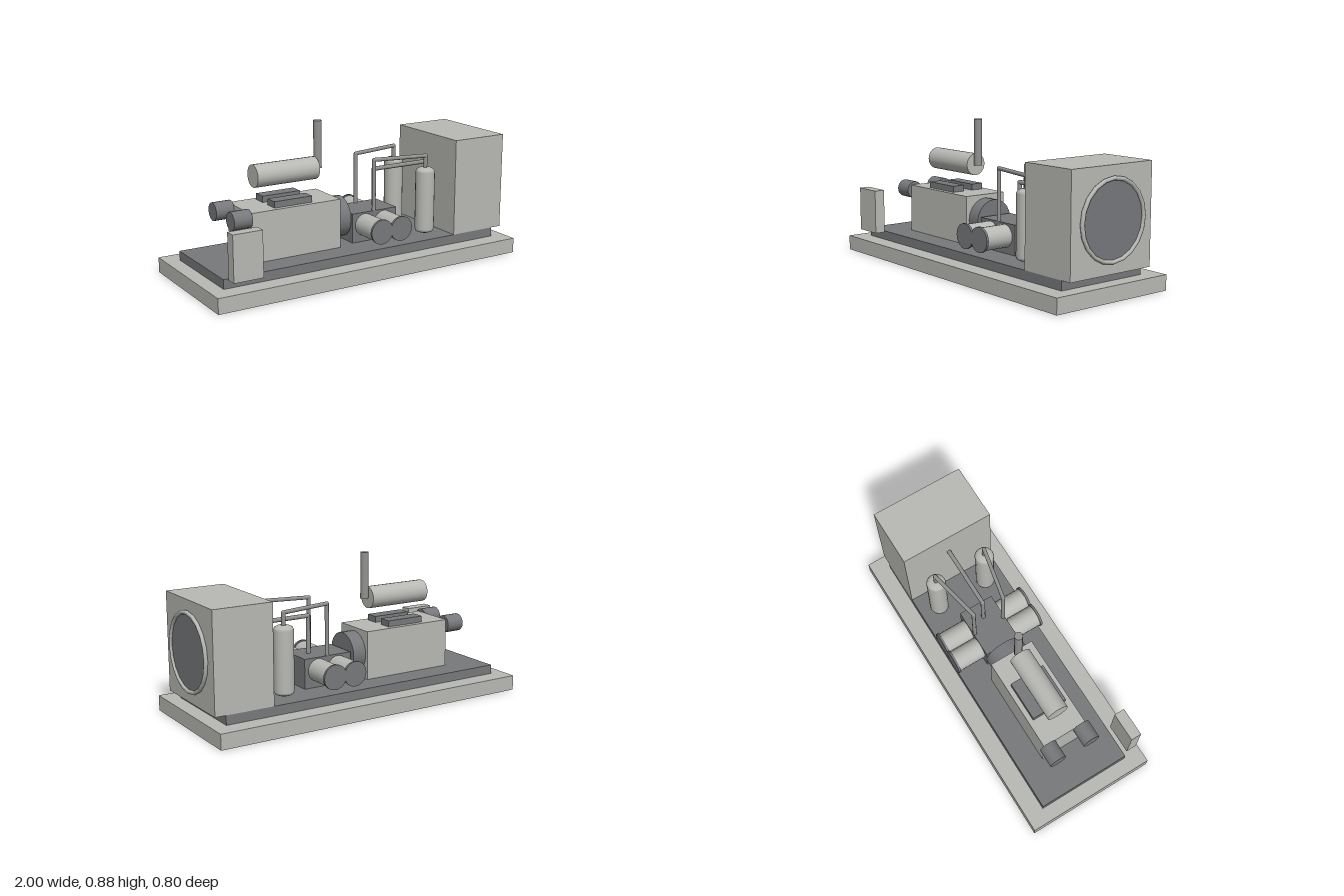
import * as THREE from 'three';

export function createModel() {
  const root = new THREE.Group();
  root.name = 'compressorSkid';
  const material = (name, color) => {
    const m = new THREE.MeshStandardMaterial({ color });
    m.name = name;
    return m;
  };
  const light = material('light grey', 0xb8b8b4);
  const dark = material('dark grey', 0x76787b);
  const steel = material('pipe grey', 0x929290);

  const add = (name, geometry, mat) => {
    const mesh = new THREE.Mesh(geometry, mat);
    mesh.name = name;
    root.add(mesh);
    return mesh;
  };
  // Box from its minimum and maximum corners
  const box = (name, mat, [x0, y0, z0], [x1, y1, z1]) =>
    add(name, new THREE.BoxGeometry(x1 - x0, y1 - y0, z1 - z0), mat)
      .position.set((x0 + x1) / 2, (y0 + y1) / 2, (z0 + z1) / 2);
  // Cylinder between two points
  const rod = (name, mat, radius, a, b, sides = 20) => {
    const start = new THREE.Vector3(...a), end = new THREE.Vector3(...b);
    const dir = end.clone().sub(start);
    const mesh = add(name, new THREE.CylinderGeometry(radius, radius, dir.length(), sides), mat);
    mesh.position.copy(start).add(end).multiplyScalar(0.5);
    mesh.quaternion.setFromUnitVectors(new THREE.Vector3(0, 1, 0), dir.normalize());
  };
  // Straight pipe runs with a ball at every bend
  const pipe = (name, radius, points) => {
    for (let i = 1; i < points.length; i++) {
      rod(name, steel, radius, points[i - 1], points[i], 10);
      if (i < points.length - 1)
        add(name + 'Elbow', new THREE.SphereGeometry(radius, 10, 8), steel).position.set(...points[i]);
    }
  };

  // Foundation and skid
  box('foundation', light, [-1, 0, -0.4], [1, 0.09, 0.4]);
  box('skid', dark, [-0.914, 0.09, -0.29], [0.912, 0.145, 0.29]);

  // Cooler with its round fan opening
  box('cooler', light, [0.62, 0.145, -0.29], [0.977, 0.725, 0.29]);
  rod('fanDisc', dark, 0.213, [0.97, 0.435, 0], [0.987, 0.435, 0]);
  const ring = add('fanRing', new THREE.TorusGeometry(0.222, 0.012, 8, 20), light);
  ring.rotation.y = Math.PI / 2;
  ring.position.set(0.988, 0.435, 0);

  // Engine, flywheel and control panel
  box('engine', light, [-0.67, 0.145, -0.14], [-0.09, 0.435, 0.14]);
  rod('flywheel', dark, 0.122, [-0.09, 0.292, 0], [-0.006, 0.292, 0]);
  box('controlPanel', light, [-0.895, 0.145, 0.312], [-0.718, 0.412, 0.377]);

  // Muffler and exhaust stack
  rod('muffler', light, 0.066, [-0.58, 0.605, 0], [-0.182, 0.605, 0]);
  rod('exhaustStack', steel, 0.024, [-0.16, 0.602, 0], [-0.16, 0.88, 0], 12);

  // Compressor frame and its gas line to the cooler
  box('compressorFrame', dark, [0.01, 0.145, -0.11], [0.32, 0.322, 0.11]);
  pipe('coolerPipe', 0.013, [[0.23, 0.32, 0], [0.23, 0.545, 0], [0.625, 0.545, 0]]);

  // Separator vessel outline with shallow domed ends
  const vessel = [[0, 0.155], [0.035, 0.157], [0.052, 0.165], [0.058, 0.18],
    [0.058, 0.53], [0.052, 0.545], [0.035, 0.554], [0, 0.557]]
    .map(([r, y]) => new THREE.Vector2(r, y));

  // Parts repeated on both sides
  for (const s of [-1, 1]) {
    rod('airFilter', dark, 0.053, [-0.78, 0.402, s * 0.113], [-0.668, 0.402, s * 0.113]);
    box('valveCover', dark, [-0.505, 0.435, s * 0.07 - 0.04], [-0.262, 0.472, s * 0.07 + 0.04]);
    for (const x of [0.097, 0.23]) {
      rod('compressorCylinder', light, 0.067, [x, 0.247, s * 0.1], [x, 0.247, s * 0.285]);
      rod('cylinderHead', dark, 0.074, [x, 0.247, s * 0.283], [x, 0.247, s * 0.297]);
    }
    add('separator', new THREE.LatheGeometry(vessel, 20), light).position.set(0.488, 0, s * 0.167);
    pipe('separatorPipe', 0.012, [[0.165, 0.32, s * 0.1], [0.165, 0.627, s * 0.1],
      [0.488, 0.627, s * 0.167], [0.488, 0.55, s * 0.167]]);
  }
  return root;
}
